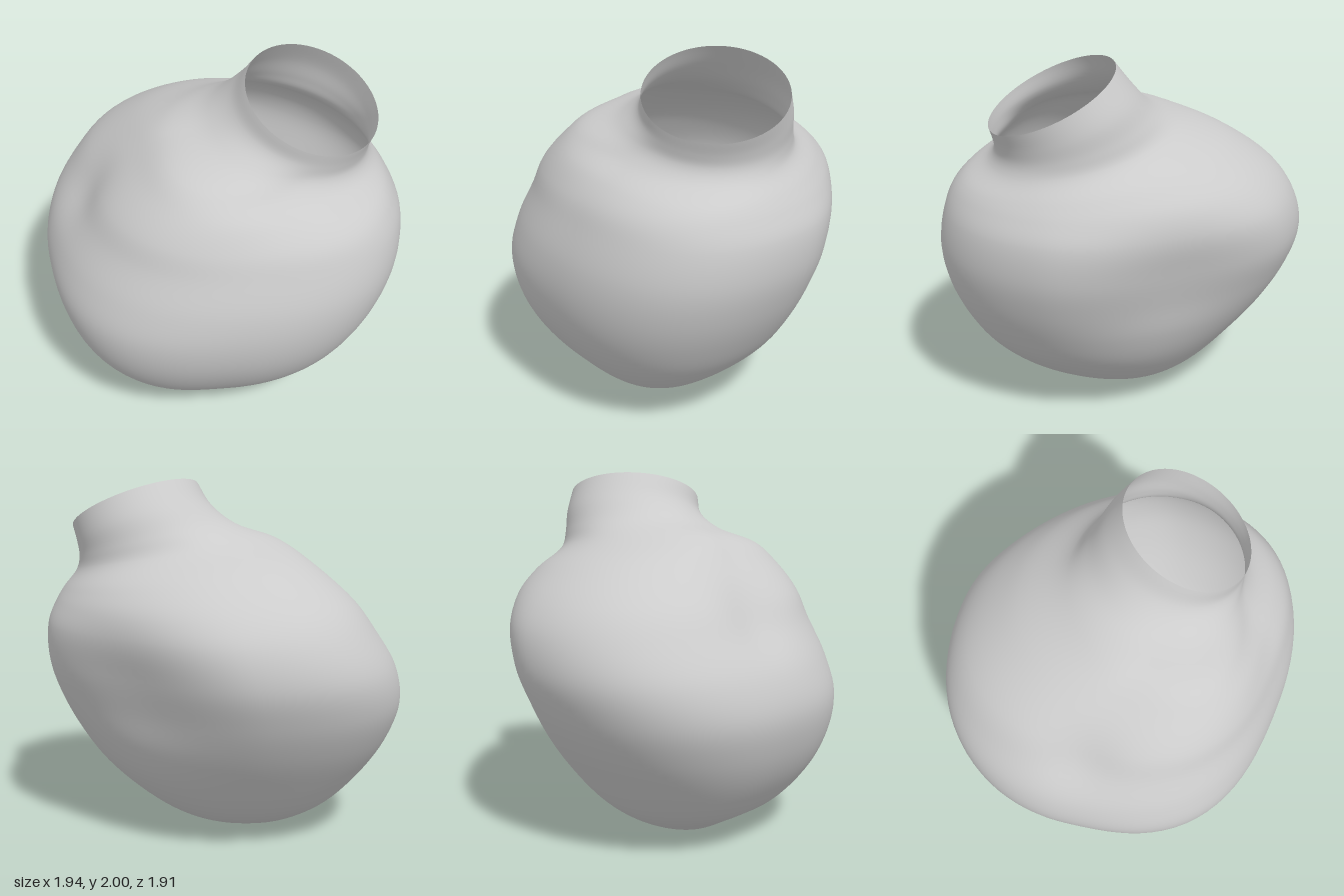
import * as THREE from 'three';

// Key rings from base to rim:
// left x, right x, front z, back z, mid height, tilt along x, tilt along z, skew
const RINGS = [
  [-0.17, -0.17, 0.07, 0.07, 0, 0, 0, 0.15],
  [-0.33, 0.02, 0.25, -0.1, 0.015, 0, 0, 0.15],
  [-0.48, 0.25, 0.46, -0.3, 0.09, 0, 0, 0.15],
  [-0.65, 0.43, 0.61, -0.45, 0.195, 0, 0, 0.15],
  [-0.83, 0.66, 0.79, -0.63, 0.4, 0, 0, 0.15],
  [-0.93, 0.8, 0.9, -0.78, 0.6, 0, 0, 0.15],
  [-0.97, 0.9, 0.95, -0.89, 0.8, 0, 0, 0.15],
  [-0.92, 0.96, 0.95, -0.95, 1.0, 0, 0, 0.15],
  [-0.8, 0.96, 0.9, -0.92, 1.2, 0, 0, 0.15],
  [-0.69, 0.91, 0.85, -0.82, 1.34, -0.02, -0.01, 0.15],
  [-0.49, 0.86, 0.77, -0.6, 1.47, -0.07, -0.04, 0.13],
  [-0.33, 0.79, 0.65, -0.34, 1.575, -0.08, -0.06, 0.08],
  [-0.11, 0.775, 0.59, -0.25, 1.65, -0.08, -0.07, 0],
  [0.02, 0.785, 0.585, -0.18, 1.74, -0.085, -0.1, -0.08],
  [0.08, 0.805, 0.595, -0.095, 1.84, -0.089, -0.131, -0.13],
];

// Corner fullness of each ring: front left, front right, back right, back left
// (as seen from above, left being -x)
const CORNERS = [
  [0, 0, 0, 0],
  [0.1, 0.05, 0.05, 0.03],
  [0.13, 0.06, 0.05, 0.03],
  [0.13, 0.06, 0.03, 0.02],
  [0.12, 0.04, 0, 0.02],
  [0.11, 0.03, -0.05, 0.02],
  [0.1, 0.03, -0.11, 0.02],
  [0.09, 0.03, -0.13, 0.02],
  [0.1, 0.03, -0.09, 0.02],
  [0.13, 0.03, -0.04, 0.02],
  [0.18, 0.03, -0.01, 0.01],
  [0.22, 0, 0.01, -0.05],
  [0.1, 0, 0, -0.03],
  [0, 0, 0, 0],
  [0, 0, 0, 0],
];

// Point on a key ring: a skewed, tilted ellipse with uneven corners
function ringPoint([xl, xr, zf, zb, y, tiltX, tiltZ, skew], [fl, fr, br, bl], a) {
  const c = Math.cos(a), s = Math.sin(a);
  const corner = c > 0 ? (s > 0 ? fr : br) : (s > 0 ? fl : bl);
  const k = 1 + corner * Math.sin(2 * a) ** 2;
  return new THREE.Vector3(
    (xl + xr) / 2 + k * (xr - xl) / 2 * c,
    y + tiltX * c + tiltZ * s,
    (zf + zb) / 2 + k * (zf - zb) / 2 * Math.sin(a + skew)
  );
}

// Smooth skin through the rings, open at the rim
function skin(columns, rows) {
  const positions = [], index = [];
  const dent = new THREE.Vector3(-0.72, 1.28, -0.05);
  for (let i = 0; i < columns; i++) {
    const a = (i / columns) * Math.PI * 2;
    const curve = new THREE.CatmullRomCurve3(RINGS.map((r, n) => ringPoint(r, CORNERS[n], a)));
    for (let j = 0; j <= rows; j++) {
      const p = curve.getPoint(j / rows);
      // shallow dent high on one flank
      const d = 0.045 * Math.exp(-p.distanceToSquared(dent) / 0.045);
      positions.push(p.x + d * 0.8, p.y - d * 0.6, p.z);
    }
  }
  const at = (i, j) => (i % columns) * (rows + 1) + j;
  for (let i = 0; i < columns; i++) {
    for (let j = 0; j < rows; j++) {
      const p = at(i, j), q = at(i + 1, j), r = at(i, j + 1), t = at(i + 1, j + 1);
      index.push(p, r, q, q, r, t);
    }
  }
  const geometry = new THREE.BufferGeometry();
  geometry.setAttribute('position', new THREE.Float32BufferAttribute(positions, 3));
  geometry.setIndex(index);
  geometry.computeVertexNormals();
  return geometry;
}

export function createModel() {
  const group = new THREE.Group();
  group.name = 'lumpyVessel';
  const material = new THREE.MeshStandardMaterial({ color: 0xcccccc, side: THREE.DoubleSide });
  const body = new THREE.Mesh(skin(96, 84), material);
  body.name = 'bodyWithOpenNeck';
  group.add(body);
  return group;
}
